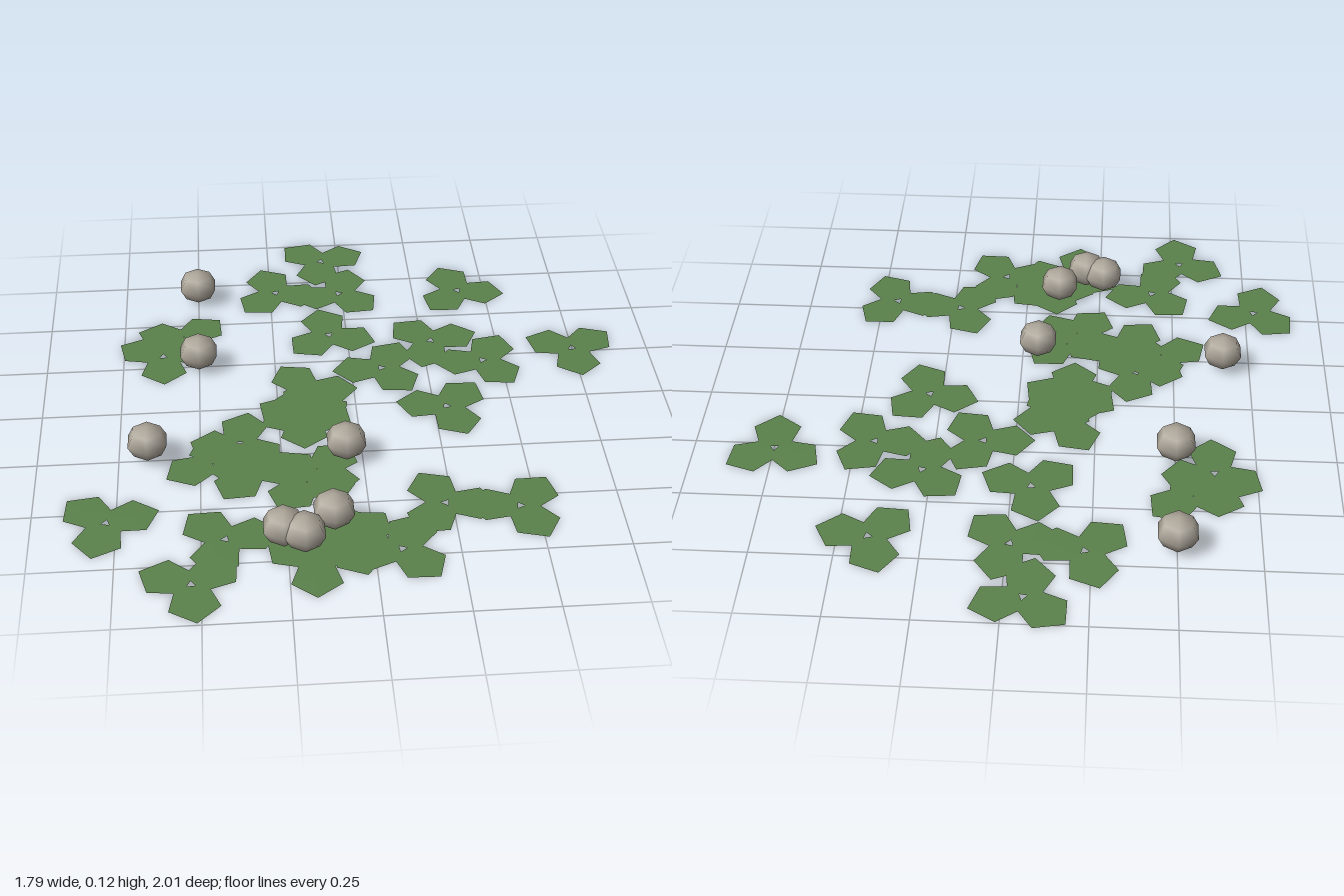
import * as THREE from 'three';
import { mergeGeometries } from 'three/addons/utils/BufferGeometryUtils.js';

const leafGreen = new THREE.MeshStandardMaterial({ color: 0x5b824b, side: THREE.DoubleSide });
const stoneGrey = new THREE.MeshStandardMaterial({ color: 0xaca599 });

// Ground sprigs: x, z, heading of one leaf in degrees (from +x towards +z)
const sprigs = [
  [-0.06, -0.89, -20], [-0.23, -0.69, -107], [-0.01, -0.67, 46], [-0.06, -0.41, 20],
  [0.41, -0.66, 12], [-0.55, -0.42, -42], [-0.62, -0.32, 88], [0.28, -0.35, -14],
  [0.44, -0.22, -62], [0.1, -0.2, -63], [0.75, -0.27, 87], [0.29, 0.03, -48],
  [-0.15, -0.09, 0], [-0.17, 0.06, 92], [-0.16, 0.02, 32], [-0.46, 0.27, 152],
  [-0.38, 0.18, -78], [-0.34, 0.32, 124], [-0.18, 0.38, 3], [-0.14, 0.34, -52],
  [-0.78, 0.54, 103], [-0.43, 0.64, -131], [-0.53, 0.83, 84], [0.23, 0.52, 6],
  [0.45, 0.55, -53], [0.08, 0.72, -67], [-0.17, 0.75, 92], [-0.09, 0.66, -95],
  [-0.07, 0.67, -45],
];

// Stones: x, z
const stones = [
  [-0.5, -0.66], [-0.5, -0.25], [-0.66, 0.23], [-0.05, 0.27],
  [-0.11, 0.6], [-0.26, 0.665], [-0.2, 0.695],
];

// Three five-sided leaves around a centre, lying flat
function sprigGeometry() {
  const leaves = [0, 1, 2].map((i) =>
    new THREE.CircleGeometry(1, 5)
      .scale(0.086, 0.078, 1)
      .translate(0.077, 0, 0)
      .rotateX(-Math.PI / 2)
      .rotateY((i * Math.PI * 2) / 3));
  return mergeGeometries(leaves);
}

// Slightly flattened six-sided pebble
function stoneGeometry() {
  return new THREE.SphereGeometry(0.068, 6, 4).rotateY(Math.PI / 6).scale(1, 0.81, 1);
}

export function createModel() {
  const model = new THREE.Group();
  model.name = 'groundCover';

  const leafShape = sprigGeometry();
  for (const [x, z, heading] of sprigs) {
    const sprig = new THREE.Mesh(leafShape, leafGreen);
    sprig.name = 'leafSprig';
    sprig.position.set(x, 0, z);
    sprig.rotation.y = -THREE.MathUtils.degToRad(heading);
    model.add(sprig);
  }

  const stoneShape = stoneGeometry();
  for (const [x, z] of stones) {
    const stone = new THREE.Mesh(stoneShape, stoneGrey);
    stone.name = 'stone';
    stone.position.set(x, 0.062, z);
    model.add(stone);
  }
  return model;
}
